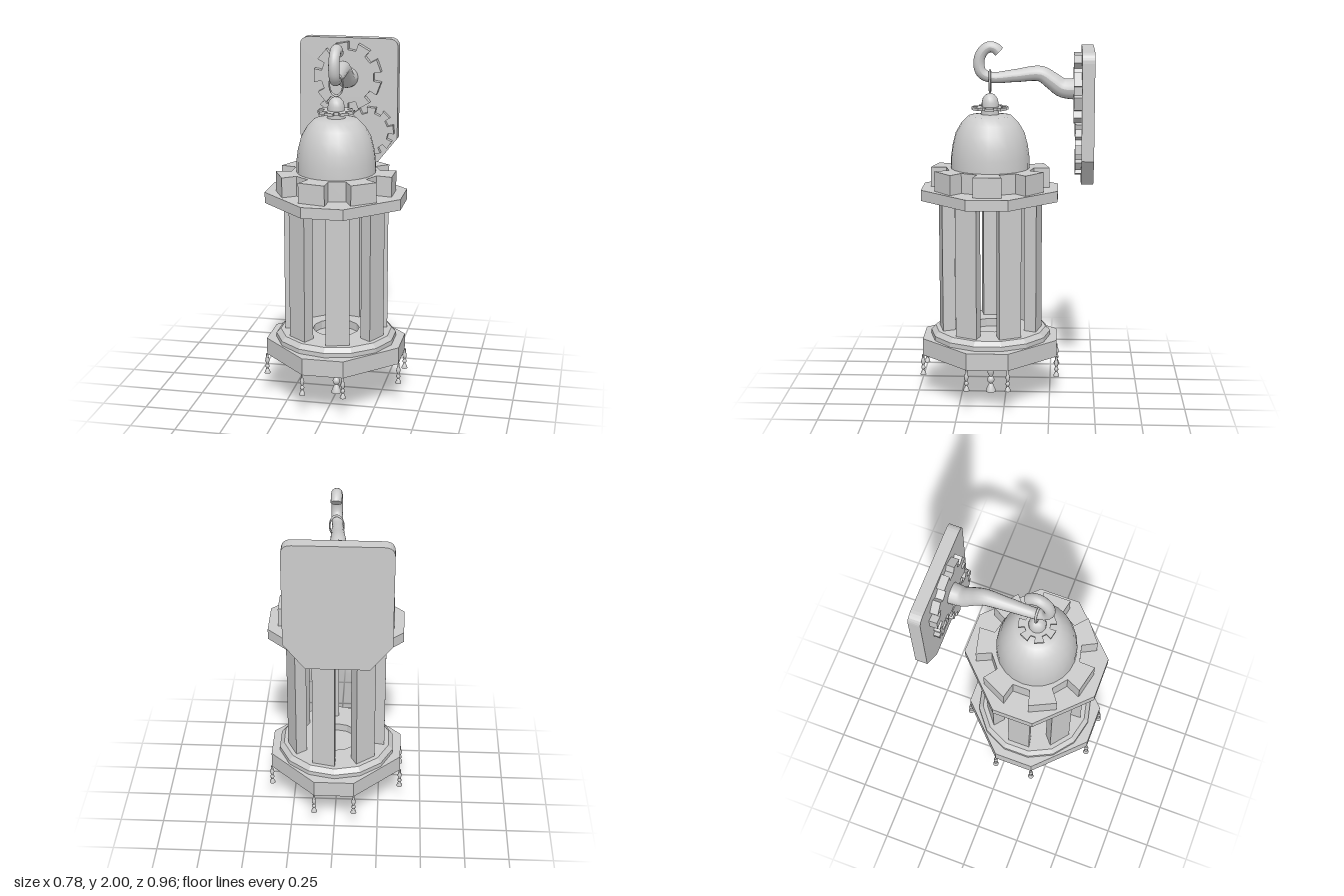
import * as THREE from 'three';
import { toCreasedNormals } from 'three/addons/utils/BufferGeometryUtils.js';

const material = new THREE.MeshStandardMaterial({ color: 0xcccccc, side: THREE.DoubleSide });

function add(parent, name, geometry, x = 0, y = 0, z = 0) {
  const mesh = new THREE.Mesh(geometry, material);
  mesh.name = name;
  mesh.position.set(x, y, z);
  parent.add(mesh);
  return mesh;
}

const extrude = (shape, depth) =>
  new THREE.ExtrudeGeometry(shape, { depth, bevelEnabled: false, curveSegments: 6 });
// Extrusion lying flat, growing upwards from y = 0
const slab = (shape, height) => extrude(shape, height).rotateX(-Math.PI / 2);
const polygon = (pts) => new THREE.Shape(pts.map(([x, y]) => new THREE.Vector2(x, y)));
const lathe = (pts, sides, crease = 0.6) =>
  toCreasedNormals(new THREE.LatheGeometry(pts.map(([x, y]) => new THREE.Vector2(x, y)), sides), crease);

// Gear outline whose teeth widen outwards: ri/ro are root and tip, wi/wo half widths
function gearShape(teeth, ri, ro, wi, wo, phase = 0, hole = 0) {
  const pts = [];
  for (let i = 0; i < teeth; i++) {
    const a = phase + (i / teeth) * Math.PI * 2, c = Math.cos(a), s = Math.sin(a);
    for (const [r, w] of [[ri, -wi], [ro, -wo], [ro, wo], [ri, wi]]) {
      pts.push([r * c - w * s, r * s + w * c]);
    }
  }
  const shape = polygon(pts);
  if (hole) shape.holes.push(new THREE.Path().absarc(0, 0, hole, 0, Math.PI * 2, true));
  return shape;
}

// Tube along a curve with its radius changing along the way
function taperedTube(curve, segments, sides, radiusAt) {
  const geometry = new THREE.TubeGeometry(curve, segments, 1, sides);
  const pos = geometry.attributes.position, v = new THREE.Vector3();
  for (let i = 0; i <= segments; i++) {
    const centre = curve.getPointAt(i / segments), r = radiusAt(i / segments);
    for (let j = 0; j <= sides; j++) {
      const k = i * (sides + 1) + j;
      v.fromBufferAttribute(pos, k).sub(centre).multiplyScalar(r).add(centre);
      pos.setXYZ(k, v.x, v.y, v.z);
    }
  }
  geometry.computeVertexNormals();
  return geometry;
}

function buildLantern() {
  const lantern = new THREE.Group();
  lantern.name = 'lantern';
  const A = 0.375, B = 0.113;
  const corners = [[A, -B], [A, B], [B, A], [-B, A], [-A, B], [-A, -B], [-B, -A], [B, -A]];
  const octagon = polygon(corners);

  // Base and its chamfered floor ring with a round recess
  add(lantern, 'basePlate', slab(octagon, 0.095), 0, 0.25);
  add(lantern, 'floorRing', lathe([
    [0, 0.35], [0.13, 0.35], [0.13, 0.395], [0.312, 0.395], [0.337, 0.37], [0.337, 0.345],
  ].reverse(), 14, 0.3));

  // Seven tapered columns
  const column = slab(polygon([[0.208, -0.051], [0.28, -0.065], [0.28, 0.065], [0.208, 0.051]]), 0.74);
  for (let i = 0; i < 7; i++) {
    add(lantern, 'column', column, 0, 0.395).rotation.y = ((i + 0.5) / 7) * Math.PI * 2;
  }

  // Roof: octagonal plate, gear crown and dome
  add(lantern, 'roofPlate', slab(octagon, 0.06), 0, 1.135);
  add(lantern, 'gearCrown', slab(gearShape(7, 0.235, 0.32, 0.06, 0.077), 0.11), 0, 1.195);
  add(lantern, 'dome', lathe([
    [0.217, 1.3], [0.216, 1.37], [0.208, 1.43], [0.19, 1.5], [0.16, 1.552], [0.118, 1.594], [0.05, 1.602], [0, 1.602],
  ], 24, 0.7));
  add(lantern, 'neck', toCreasedNormals(new THREE.CylinderGeometry(0.05, 0.05, 0.03, 20), 0.6), 0, 1.614);
  add(lantern, 'capGear', slab(gearShape(7, 0.065, 0.098, 0.018, 0.026), 0.015), 0, 1.628);
  add(lantern, 'capKnob', lathe([
    [0.046, 1.64], [0.046, 1.665], [0.04, 1.69], [0.026, 1.708], [0.01, 1.716], [0, 1.717],
  ], 20, 0.9));
  const ring = new THREE.TorusGeometry(0.05, 0.006, 8, 28).scale(0.75, 1.2, 1);
  add(lantern, 'hangingRing', ring, 0, 1.782);

  // Stacked gears under the base
  add(lantern, 'underGear', slab(gearShape(9, 0.135, 0.173, 0.03, 0.038), 0.046), 0, 0.205);
  add(lantern, 'underGearSmall', slab(gearShape(7, 0.085, 0.125, 0.022, 0.03), 0.025), 0, 0.182);

  // Turned pendants: a large one in the middle, small ones at the corners
  const pendant = lathe([
    [0, 0], [0.029, 0], [0.027, 0.012], [0.015, 0.04], [0.01, 0.05], [0.019, 0.06], [0.021, 0.072],
    [0.016, 0.084], [0.01, 0.092], [0.017, 0.108], [0.021, 0.125], [0.018, 0.145], [0.011, 0.165], [0.011, 0.195],
  ], 14, 0.8);
  add(lantern, 'centrePendant', pendant);
  for (const [x, z] of corners) {
    add(lantern, 'cornerPendant', pendant, x, 0.135, z).scale.set(0.58, 0.6, 0.58);
  }
  return lantern;
}

function buildBracket() {
  const bracket = new THREE.Group();
  bracket.name = 'wallBracket';

  // Wall plate: rounded top corners, cut bottom corners
  const W = 0.285, top = 1.96, low = 1.24, r = 0.055;
  const plate = new THREE.Shape();
  plate.moveTo(-W + 0.115, low);
  plate.lineTo(W - 0.115, low);
  plate.lineTo(W, low + 0.145);
  plate.lineTo(W, top - r);
  plate.quadraticCurveTo(W, top, W - r, top);
  plate.lineTo(-W + r, top);
  plate.quadraticCurveTo(-W, top, -W, top - r);
  plate.lineTo(-W, low + 0.145);
  plate.closePath();
  add(bracket, 'wallPlate', extrude(plate, 0.067), -0.03, 0, -0.48);

  // Gears on the plate
  add(bracket, 'largeGear', extrude(gearShape(9, 0.15, 0.193, 0.03, 0.038, 0.35), 0.045), -0.03, 1.745, -0.415);
  add(bracket, 'mediumGear', extrude(gearShape(9, 0.105, 0.138, 0.02, 0.026, 0.1), 0.036), 0.1, 1.43, -0.415);
  add(bracket, 'smallGear', extrude(gearShape(6, 0.05, 0.072, 0.014, 0.019, 0.2, 0.026), 0.036), -0.13, 1.535, -0.415);

  // Arm sweeping forward into a hook
  const path = [
    [-0.025, 1.74, -0.39], [-0.025, 1.745, -0.31], [-0.022, 1.785, -0.25], [-0.02, 1.822, -0.19],
    [-0.012, 1.812, -0.05], [-0.005, 1.803, 0.08], [0, 1.828, 0.133], [0, 1.88, 0.148],
    [0, 1.935, 0.133], [0, 1.968, 0.095], [0, 1.964, 0.06], [0, 1.942, 0.037],
  ].map((p) => new THREE.Vector3(...p));
  const curve = new THREE.CatmullRomCurve3(path);
  add(bracket, 'hookArm', taperedTube(curve, 60, 16, (t) => 0.062 - 0.032 * Math.min(1, t / 0.6) ** 0.7));
  const end = new THREE.CircleGeometry(0.03, 16);
  const cap = add(bracket, 'hookTip', end, 0, 1.942, 0.037);
  cap.quaternion.setFromUnitVectors(new THREE.Vector3(0, 0, 1), curve.getTangentAt(1));
  return bracket;
}

export function createModel() {
  const model = new THREE.Group();
  model.name = 'wallLantern';
  const lantern = buildLantern();
  lantern.position.z = 0.087;
  model.add(lantern, buildBracket());
  return model;
}
